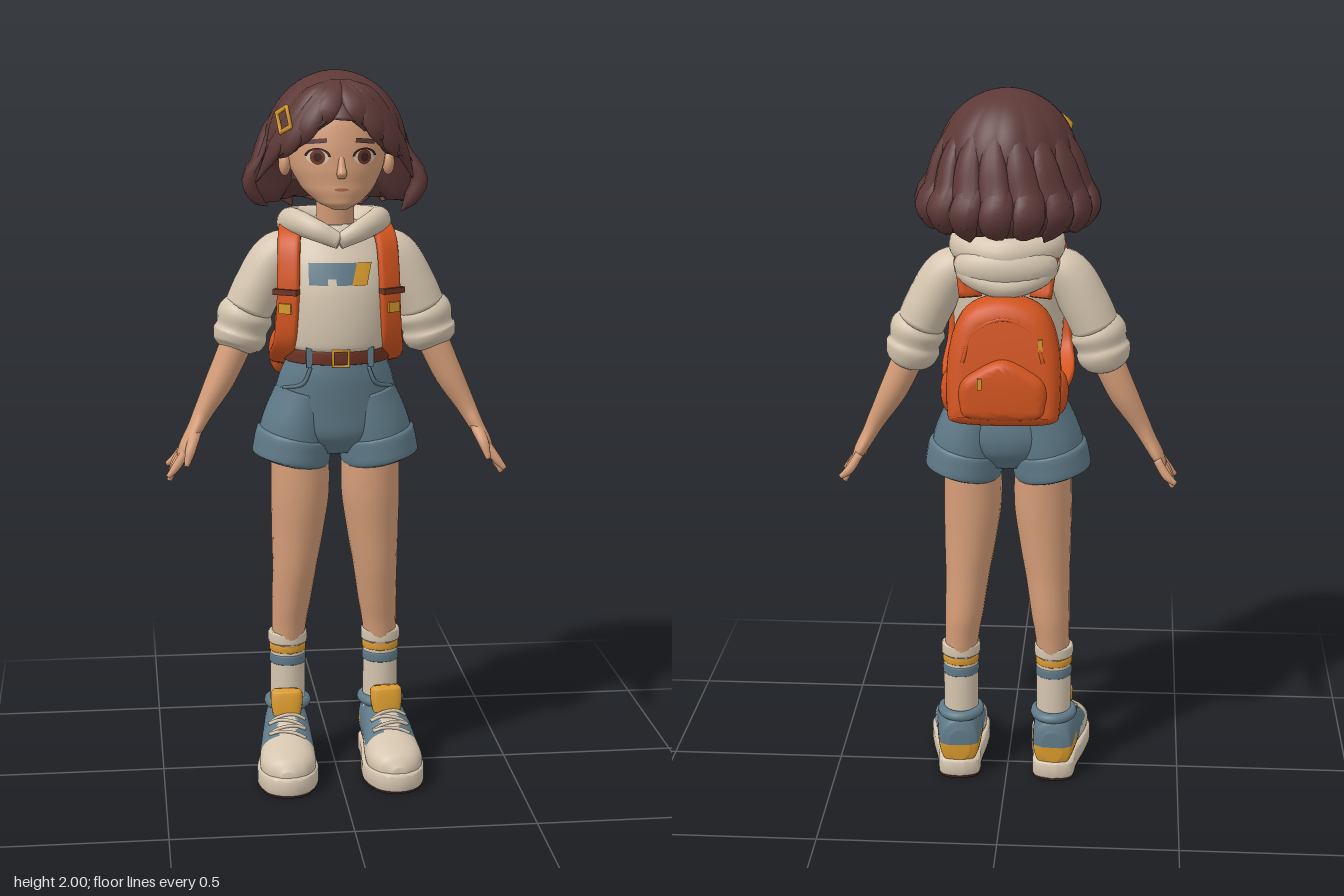
import * as THREE from 'three';
import { toCreasedNormals } from 'three/addons/utils/BufferGeometryUtils.js';

const paintOf = (name, color) => Object.assign(new THREE.MeshStandardMaterial({ color }), { name });
const skin = paintOf('skin', 0xd59d78), hair = paintOf('hair', 0x5d3937), cream = paintOf('cream', 0xd5c5af);
const orange = paintOf('orange', 0xd2541f), denim = paintOf('denim', 0x5f7a88), leather = paintOf('leather', 0x6e3424);
const yellow = paintOf('yellow', 0xd8992c), dark = paintOf('dark', 0x3b2021), lip = paintOf('lip', 0xa9634f);

const V = (x, y, z) => new THREE.Vector3(x, y, z);
const UP = V(0, 1, 0), DOWN = V(0, -1, 0), smooth = THREE.MathUtils.smoothstep;

function add(parent, name, geo, mat) {
  const m = new THREE.Mesh(geo, mat);
  m.name = name;
  parent.add(m);
  return m;
}

// Lofts elliptical rings [x, y, z, sideRadius, refRadius] along a smooth path, with closed ends.
// A fixed axis keeps all rings parallel; it must point the way the path runs.
function sweep(pts, { seg = 24, n = 24, ref = V(0, 0, 1), axis = null, pow = 1 } = {}) {
  const path = new THREE.CatmullRomCurve3(pts.map(p => V(p[0], p[1], p[2])));
  const size = new THREE.CatmullRomCurve3(pts.map(p => V(p[3], p[4] ?? p[3], 0)), false, 'catmullrom', 0.4);
  const pos = [], idx = [];
  const round = v => Math.sign(v) * Math.abs(v) ** pow;
  for (let i = 0; i <= seg; i++) {
    const c = path.getPoint(i / seg), r = size.getPoint(i / seg);
    const t = axis ?? path.getTangent(i / seg);
    const side = t.clone().cross(ref).normalize(), up = side.clone().cross(t);
    for (let j = 0; j < n; j++) {
      const f = j / n * Math.PI * 2;
      const p = c.clone().addScaledVector(side, round(Math.cos(f)) * Math.max(r.x, 0.001))
        .addScaledVector(up, round(Math.sin(f)) * Math.max(r.y, 0.001));
      pos.push(p.x, p.y, p.z);
      const a = i * n + j, b = i * n + (j + 1) % n;
      if (i < seg) idx.push(a, a + n, b, b, a + n, b + n);
    }
  }
  const s = pos.length / 3, last = seg * n;
  pos.push(...pts[0].slice(0, 3), ...pts.at(-1).slice(0, 3));
  for (let j = 0; j < n; j++) idx.push(s, j, (j + 1) % n, s + 1, last + (j + 1) % n, last + j);
  return build(pos, idx);
}

function build(pos, idx) {
  const g = new THREE.BufferGeometry();
  g.setAttribute('position', new THREE.Float32BufferAttribute(pos, 3));
  g.setIndex(idx);
  g.computeVertexNormals();
  return g;
}

// Sorts triangles into material groups by their centre.
function regions(geo, pick, count) {
  const p = geo.attributes.position, ix = geo.index.array, sets = Array.from({ length: count }, () => []);
  for (let i = 0; i < ix.length; i += 3) {
    const c = V(0, 0, 0);
    for (let k = 0; k < 3; k++) c.add(V(0, 0, 0).fromBufferAttribute(p, ix[i + k]));
    sets[pick(c.divideScalar(3))].push(ix[i], ix[i + 1], ix[i + 2]);
  }
  geo.setIndex(sets.flat());
  let start = 0;
  sets.forEach((q, k) => { geo.addGroup(start, q.length, k); start += q.length; });
  return geo;
}

// First point where a ray meets a mesh.
const touch = (target, from, dir) => new THREE.Raycaster(from, dir).intersectObject(target)[0]?.point ?? V(0, 0, 0);

// Lays a flat patch onto the front of a mesh.
function decal(parent, name, geo, mat, target, x, y, off = 0.003) {
  const p = geo.translate(x, y, 0).attributes.position;
  for (let i = 0; i < p.count; i++) p.setZ(i, touch(target, V(p.getX(i), p.getY(i), 1), V(0, 0, -1)).z + off);
  geo.computeVertexNormals();
  return add(parent, name, geo, mat);
}

const ball = (x, y, z, a, b, c) => new THREE.SphereGeometry(1, 24, 16).scale(a, b, c).translate(x, y, z);
const box = (x, y, z, a, b, c) => new THREE.BoxGeometry(a, b, c).translate(x, y, z);

function slab(points, depth, bevel) {
  const shape = new THREE.Shape(new THREE.SplineCurve([...points, points[0]].map(p => new THREE.Vector2(...p))).getPoints(60).slice(0, -1));
  const g = new THREE.ExtrudeGeometry(shape, { depth, bevelThickness: bevel, bevelSize: bevel, bevelOffset: -bevel, bevelSegments: 5 });
  return toCreasedNormals(g, 0.7);
}

// Hair silhouette: a dome that flares at the cheeks and tucks in at the ends.
function hairRadius(y) {
  if (y > 1.8) return 0.193 * Math.sqrt(Math.max(0, 1 - ((y - 1.8) / 0.2) ** 2));
  return 0.193 + 0.045 * smooth(1.8 - y, 0, 0.11) - 0.045 * smooth(1.685 - y, 0, 0.07);
}
const onHair = (a, y, k = 1) => [Math.sin(a) * hairRadius(y) * k, y, Math.cos(a) * hairRadius(y) * k - 0.008];
function hairEnd(a) {
  const d = Math.abs(a);
  return 1.882 - 0.105 * smooth(d, 0.05, 1.1) - 0.135 * smooth(d, 1.3, 1.7);
}

function makeHair(g) {
  const n = 144, rows = 22, pos = [], idx = [];
  for (let i = 0; i <= rows + 2; i++) for (let j = 0; j < n; j++) {
    const a = j / n * Math.PI * 2 - Math.PI, t = Math.min(i / rows, 1), lobe = Math.abs(Math.sin(a * 7 + t * 1.2));
    const end = hairEnd(a) - 0.006 * lobe, y = 2 - (2 - end) * (1 - Math.cos(t * Math.PI / 2));
    const p = onHair(a, y, 0.975 + 0.045 * t * lobe);
    const inner = i - rows;
    if (inner > 0) {
      const r = inner === 1 ? 0.155 : 0.12;
      p[0] = Math.sin(a) * r; p[2] = Math.cos(a) * r; p[1] = y + (inner === 1 ? 0.005 : 0.06);
    }
    pos.push(...p);
    const q = i * n + j, w = i * n + (j + 1) % n;
    if (i < rows + 2) idx.push(q, q + n, w, w, q + n, w + n);
  }
  add(g, 'hairCap', build(pos, idx), hair);
  // Outer locks round the sides and back: long ones tuck in, short ones flick out
  for (let i = 0; i < 17; i++) {
    const a = 1.62 + i / 16 * (Math.PI * 2 - 3.24), flick = i % 2, w = flick ? 0.16 : -0.14;
    const rows = flick ? [[1.93, 0.92, 0.01, 0], [1.83, 0.97, 0.036, 0.2], [1.75, 0.98, 0.044, 0.5], [1.70, 1.0, 0.032, 0.8], [1.662, 1.08, 0.003, 1]]
      : [[1.88, 0.93, 0.012, 0], [1.78, 0.97, 0.036, 0.2], [1.70, 0.98, 0.046, 0.5], [1.65, 0.98, 0.036, 0.8], [1.615 + 0.012 * (i % 3), 0.95, 0.004, 1]];
    const pts = rows.map(([y, k, r, s]) => [...onHair(a + w * s, y, k), r, r * 0.55]);
    add(g, 'hairLock', sweep(pts, { seg: 14, n: 10, ref: V(Math.sin(a), 0, Math.cos(a)) }), hair);
  }
  // Fringe swept away from a parting
  for (const a of [-1.2, -0.9, -0.6, -0.3, 0.32, 0.62, 0.92, 1.2]) {
    const pts = [[0.2, 1.975, 0.95, 0.012], [0.55, 1.94, 0.98, 0.03], [0.9, hairEnd(a) + 0.03, 0.97, 0.034], [1.25, hairEnd(a * 1.25) - 0.008, 0.92, 0.004]]
      .map(([s, y, k, r]) => [...onHair(0.05 + (a - 0.05) * s, y, k), r, r * 0.5]);
    add(g, 'fringeLock', sweep(pts, { seg: 14, n: 10, ref: V(Math.sin(a), 0.2, Math.cos(a)) }), hair);
  }
  const clip = add(g, 'hairClip', new THREE.TorusGeometry(0.034, 0.007, 8, 4).rotateZ(Math.PI / 4).scale(0.8, 1.2, 1).rotateZ(0.5), yellow);
  clip.position.set(-0.15, 1.875, 0.108);
  clip.lookAt(-0.9, 2.1, 0.7);
}

function makeHead(g) {
  add(g, 'neck', sweep([[0, 1.5, -0.01, 0.06], [0, 1.58, 0, 0.052], [0, 1.7, 0.01, 0.055]], { axis: UP }), skin);
  const face = add(g, 'face', sweep([[0, 1.636, 0.12, 0.022, 0.025], [0, 1.655, 0.095, 0.062, 0.065], [0, 1.695, 0.055, 0.103, 0.108],
    [0, 1.75, 0.03, 0.13, 0.134], [0, 1.81, 0.018, 0.138, 0.142], [0, 1.88, 0.005, 0.13, 0.138], [0, 1.95, 0, 0.08, 0.09]],
  { axis: UP, seg: 40, n: 40 }), skin);
  add(g, 'nose', sweep([[0, 1.79, 0.15, 0.008, 0.008], [0, 1.755, 0.163, 0.01, 0.012], [0, 1.735, 0.169, 0.014, 0.016], [0, 1.722, 0.16, 0.01, 0.012]], { axis: DOWN }), skin);
  const disc = (r, a, b) => new THREE.RingGeometry(0, r, 24, 4).scale(a, b, 1);
  for (const s of [1, -1]) {
    const x = s * 0.063, y = 1.778;
    add(g, 'ear', ball(s * 0.142, 1.752, 0.035, 0.017, 0.034, 0.024), skin);
    decal(g, 'eyeWhite', disc(0.03, 1, 0.66), cream, face, x, y, 0.002);
    decal(g, 'iris', disc(0.02, 0.98, 1), leather, face, x, y, 0.0035);
    decal(g, 'pupil', disc(0.011, 1, 1.1), dark, face, x, y, 0.005);
    decal(g, 'upperLash', new THREE.RingGeometry(0.027, 0.034, 20, 2, 0.1, Math.PI - 0.2).scale(1, 0.72, 1), dark, face, x, y, 0.005);
    decal(g, 'eyebrow', new THREE.PlaneGeometry(0.055, 0.012, 8, 2).rotateZ(-s * 0.12), hair, face, s * 0.066, 1.82, 0.004);
  }
  decal(g, 'mouth', disc(0.02, 1, 0.2), lip, face, 0, 1.692, 0.003);
}

function makeTop(g) {
  const torso = add(g, 'hoodieBody', sweep([[0, 1.235, 0.03, 0.13, 0.11], [0, 1.26, 0.033, 0.145, 0.12], [0, 1.33, 0.034, 0.152, 0.122], [0, 1.41, 0.028, 0.156, 0.12],
    [0, 1.48, 0.016, 0.157, 0.11], [0, 1.54, 0.004, 0.135, 0.092], [0, 1.585, -0.005, 0.08, 0.07]], { axis: UP, seg: 36, n: 40 }), cream);
  // Chest print
  const skew = (w, h, k) => new THREE.PlaneGeometry(w, h, 10, 6).applyMatrix4(new THREE.Matrix4().makeShear(0, 0, k, 0, 0, 0));
  decal(g, 'printBlock', skew(0.13, 0.042, 0), denim, torso, -0.02, 1.468);
  for (const x of [-0.0595, 0.0145]) decal(g, 'printFoot', skew(0.051, 0.018, 0), denim, torso, x, 1.439);
  decal(g, 'printCorner', skew(0.042, 0.06, 0.25), yellow, torso, 0.06, 1.459, 0.004);
  // Hood rolled round the neck and hanging behind
  const half = [[0.06, 1.575, 0.1, 0.026, 0.03], [0.112, 1.592, 0.035, 0.032, 0.036], [0.112, 1.578, -0.06, 0.042, 0.045]];
  const flip = half.map(([x, ...r]) => [-x, ...r]).reverse();
  const front = [0, 1.547, 0.118, 0.018, 0.022];
  add(g, 'hoodRoll', sweep([front, ...half, [0, 1.57, -0.118, 0.05, 0.05], ...flip, front], { seg: 60, n: 16, ref: UP }), cream);
  add(g, 'hoodPouch', ball(0, 1.535, -0.095, 0.142, 0.072, 0.08), cream);
  add(g, 'hoodFold', sweep([[0.13, 1.55, -0.02, 0.02], [0.1, 1.515, -0.11, 0.03], [0, 1.488, -0.14, 0.034], [-0.1, 1.515, -0.11, 0.03], [-0.13, 1.55, -0.02, 0.02]],
    { n: 14, ref: UP }), cream);
}

function makeArm(g, s) {
  const at = pts => pts.map(([x, ...r]) => [s * x, ...r]);
  add(g, 'sleeve', sweep(at([[0.09, 1.525, -0.005, 0.045, 0.055], [0.16, 1.495, -0.005, 0.066, 0.07], [0.213, 1.41, -0.005, 0.069, 0.074],
    [0.243, 1.345, -0.005, 0.068, 0.073]]), { seg: 20 }), cream);
  add(g, 'rolledCuff', sweep(at([[0.236, 1.365, -0.005, 0.062], [0.25, 1.33, -0.005, 0.079], [0.26, 1.295, -0.005, 0.072],
    [0.266, 1.275, -0.005, 0.077], [0.276, 1.248, -0.003, 0.067], [0.281, 1.233, 0, 0.045]]), { seg: 24 }), cream);
  add(g, 'forearm', sweep(at([[0.268, 1.27, 0, 0.045], [0.32, 1.155, 0.003, 0.04, 0.045], [0.372, 1.06, 0.012, 0.027, 0.035],
    [0.395, 1.015, 0.018, 0.022, 0.042], [0.42, 0.97, 0.02, 0.019, 0.053], [0.437, 0.94, 0.02, 0.012, 0.045]])), skin);
  [[0.065, 0.89], [0.033, 0.872], [-0.002, 0.877], [-0.036, 0.9]].forEach(([z, tip], i) => {
    const mid = 0.02 + (z - 0.02) * 0.8;
    add(g, 'finger', sweep(at([[0.42, 0.965, mid, 0.012], [0.449, 0.92, z, 0.0125], [0.474 - 0.004 * (i % 3), tip, z * 1.12, 0.007]]), { seg: 10, n: 10 }), skin);
  });
  add(g, 'thumb', sweep(at([[0.393, 1.01, 0.04, 0.016], [0.41, 0.97, 0.08, 0.015], [0.423, 0.925, 0.098, 0.007]]), { seg: 10, n: 10 }), skin);
}

function makeShortsAndLeg(g, s) {
  const at = pts => pts.map(([x, ...r]) => [s * x, ...r]);
  add(g, 'shortsLeg', sweep(at([[0.085, 1.12, 0, 0.082, 0.115], [0.108, 1.02, 0, 0.1, 0.12], [0.122, 0.95, 0, 0.101, 0.116]])), denim);
  add(g, 'shortsCuff', sweep(at([[0.114, 1.0, 0, 0.096, 0.112], [0.116, 0.99, 0, 0.108, 0.124], [0.121, 0.96, 0, 0.11, 0.126],
    [0.126, 0.925, 0, 0.109, 0.125], [0.128, 0.915, 0, 0.088, 0.105]])), denim);
  add(g, 'pocketSeam', sweep(at([[0.08, 1.2, 0.118, 0.005], [0.1, 1.155, 0.11, 0.006], [0.15, 1.135, 0.062, 0.005]]), { n: 8 }), denim);
  add(g, 'beltLoop', box(s * 0.085, 1.23, 0.122, 0.016, 0.055, 0.018), denim);
  add(g, 'leg', sweep(at([[0.1, 1.0, 0, 0.08, 0.1], [0.1, 0.83, 0, 0.083, 0.098], [0.108, 0.7, -0.006, 0.073, 0.09], [0.116, 0.6, -0.012, 0.063, 0.084],
    [0.124, 0.5, -0.025, 0.056, 0.075], [0.131, 0.42, -0.031, 0.049, 0.061], [0.134, 0.34, -0.032, 0.044, 0.05]]), { axis: DOWN }), skin);
  const ring = (name, y0, y1, r, mat) => add(g, name,
    sweep(at([[0.135, y0, -0.032, r - 0.004], [0.135, y0 + 0.004, -0.032, r], [0.135, y1 - 0.004, -0.032, r], [0.135, y1, -0.032, r - 0.004]]), { axis: UP, seg: 12 }), mat);
  ring('sock', 0.12, 0.39, 0.05, cream);
  ring('sockTop', 0.367, 0.402, 0.056, cream);
  ring('sockYellowStripe', 0.342, 0.366, 0.0525, yellow);
  ring('sockBlueStripe', 0.306, 0.336, 0.0525, denim);
}

function makeShoe(s) {
  const g = new THREE.Group();
  g.name = 'shoe';
  const print = [[0, -0.122], [0.055, -0.1], [0.064, -0.02], [0.082, 0.09], [0.085, 0.17], [0.055, 0.242], [0, 0.265],
    [-0.055, 0.242], [-0.085, 0.17], [-0.082, 0.09], [-0.064, -0.02], [-0.055, -0.1]];
  add(g, 'midsole', slab(print, 0.036, 0.008).rotateX(Math.PI / 2).translate(0, 0.05, 0), cream);
  add(g, 'outsole', slab(print.map(p => [p[0] * 0.97, p[1] * 0.98]), 0.007, 0.002).rotateX(Math.PI / 2).translate(0, 0.009, 0), dark);
  const shell = sweep([[0, 0.105, -0.114, 0.03, 0.045], [0, 0.108, -0.102, 0.055, 0.073], [0, 0.11, -0.04, 0.064, 0.083], [0, 0.108, 0.02, 0.068, 0.084],
    [0, 0.095, 0.07, 0.073, 0.078], [0, 0.078, 0.12, 0.078, 0.066], [0, 0.07, 0.18, 0.078, 0.053], [0, 0.062, 0.228, 0.056, 0.042], [0, 0.055, 0.252, 0.02, 0.018]],
  { seg: 60, n: 48, ref: UP, axis: V(0, 0, 1), pow: 0.9 });
  // Cream toe and throat, blue sides, yellow heel patches
  const pick = c => {
    if (c.z > 0.13 - Math.max(0, 0.1 - c.y) || (Math.abs(c.x) < 0.026 && c.z > 0.02)) return 0;
    if (c.z < -0.03 && c.y < 0.13 + c.z * 0.2) return 2;
    return c.z > 0.03 && c.y < 0.1 ? 0 : 1;
  };
  const upper = add(g, 'shoeUpper', regions(shell, pick, 3), [cream, denim, yellow]);
  const collar = add(g, 'shoeCollar', new THREE.TorusGeometry(0.053, 0.015, 10, 28).rotateX(Math.PI / 2).scale(1, 1, 1.15), denim);
  collar.position.set(-s * 0.004, 0.188, -0.033);
  add(g, 'tongue', sweep([[0, 0.15, 0.052, 0.035, 0.016], [0, 0.2, 0.04, 0.045, 0.022], [0, 0.232, 0.032, 0.045, 0.022], [0, 0.243, 0.03, 0.036, 0.01]], { pow: 0.7 }), yellow);
  // Laces lying across the throat
  [0.068, 0.086, 0.104, 0.122].forEach((z, i) => {
    const k = i % 2 ? 0.15 : -0.15;
    const pts = [-0.052, -0.026, 0, 0.026, 0.052].map(x => {
      const p = touch(upper, V(x, 1, z + x * k), DOWN);
      return [x, p.y + 0.003, p.z, 0.005];
    });
    add(g, 'lace', sweep(pts, { seg: 12, n: 8, ref: UP }), cream);
  });
  g.position.x = s * 0.142;
  g.rotation.y = s * 0.06;
  return g;
}

function makeBackpack(g) {
  const dome = (w, y0, y1) => [[0, y0], [w * 0.85, y0 + 0.008], [w, y0 + 0.05], [w * 0.97, y0 + (y1 - y0) * 0.6], [w * 0.68, y1 - 0.035], [0, y1],
    [-w * 0.68, y1 - 0.035], [-w * 0.97, y0 + (y1 - y0) * 0.6], [-w, y0 + 0.05], [-w * 0.85, y0 + 0.008]];
  const lean = new THREE.Matrix4().makeShear(0, 0, 0, 0.15, 0, 0);
  add(g, 'packBody', slab(dome(0.153, 1.12, 1.465), 0.04, 0.045).translate(0, -1.29, -0.19).applyMatrix4(lean).translate(0, 1.29, 0), orange);
  add(g, 'packPocket', slab(dome(0.118, 1.14, 1.31), 0.015, 0.028).translate(0, 0, -0.237), orange);
  add(g, 'packSeam', sweep([[-0.108, 1.3, -0.23, 0.006], [-0.082, 1.375, -0.217, 0.006], [0, 1.415, -0.212, 0.006], [0.082, 1.375, -0.217, 0.006], [0.108, 1.3, -0.23, 0.006]], { n: 8 }), orange);
  add(g, 'pocketPull', box(0.06, 1.25, -0.267, 0.012, 0.03, 0.008), yellow);
  add(g, 'zipPull', box(-0.1, 1.345, -0.222, 0.012, 0.04, 0.014), yellow);
  add(g, 'packHandle', new THREE.TorusGeometry(0.03, 0.007, 8, 20, Math.PI).translate(0, 1.445, -0.13), orange);
  for (const s of [1, -1]) {
    add(g, 'sidePocket', ball(s * 0.143, 1.2, -0.155, 0.032, 0.065, 0.055), orange);
    add(g, 'shoulderStrap', sweep([[0.095, 1.45, -0.11], [0.11, 1.545, -0.075], [0.122, 1.578, -0.01], [0.133, 1.545, 0.065], [0.138, 1.46, 0.098], [0.141, 1.36, 0.104],
      [0.147, 1.27, 0.086], [0.155, 1.215, 0.01], [0.13, 1.18, -0.11]].map(([x, y, z]) => [s * x, y, z, 0.012, 0.032]),
    { seg: 50, n: 16, ref: V(s * 0.86, 0, -0.5), pow: 0.5 }), orange);
    const fit = m => { m.position.set(s * 0.143, 0, 0.106); m.rotation.y = s * 0.52; };
    fit(add(g, 'strapSlider', box(0, 1.41, 0.004, 0.07, 0.016, 0.026), leather));
    fit(add(g, 'strapBuckle', box(0, 1.365, 0.004, 0.036, 0.028, 0.026), yellow));
  }
}

export function createModel() {
  const model = new THREE.Group();
  const part = name => { const g = new THREE.Group(); g.name = name; model.add(g); return g; };
  const head = part('head');
  makeHead(head);
  makeHair(head);
  makeTop(part('hoodie'));
  const lower = part('shortsAndLegs'), arms = part('arms');
  add(lower, 'shortsHips', sweep([[0, 1.225, 0.025, 0.135, 0.108], [0, 1.16, 0.015, 0.16, 0.12], [0, 1.06, 0, 0.184, 0.124], [0, 1.0, 0, 0.16, 0.115], [0, 0.945, 0, 0.08, 0.07]], { axis: DOWN }), denim);
  add(lower, 'belt', sweep([[0, 1.208, 0.026, 0.13, 0.105], [0, 1.211, 0.026, 0.146, 0.12], [0, 1.247, 0.028, 0.144, 0.12], [0, 1.25, 0.028, 0.13, 0.105]], { axis: UP, n: 40 }), leather);
  add(lower, 'beltBuckle', new THREE.TorusGeometry(0.03, 0.005, 8, 4).rotateZ(Math.PI / 4).translate(0, 1.23, 0.15), yellow);
  for (const s of [1, -1]) {
    makeArm(arms, s);
    makeShortsAndLeg(lower, s);
    model.add(makeShoe(s));
  }
  makeBackpack(part('backpack'));
  return model;
}
